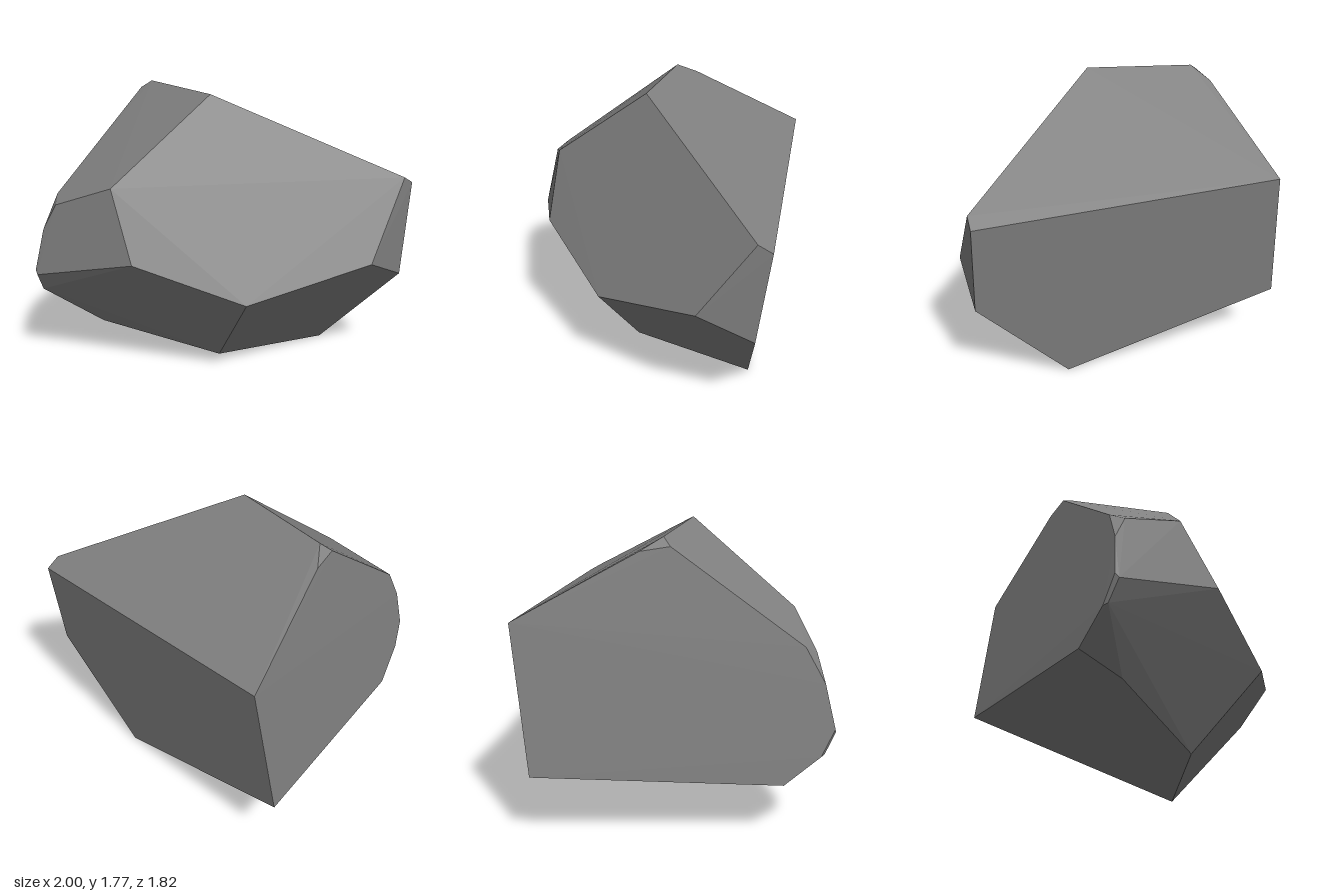
import * as THREE from 'three';
import { ConvexGeometry } from 'three/addons/geometries/ConvexGeometry.js';

// Corner points of the faceted boulder
const corners = [
  // crown
  [-0.10, 1.775, 0.205], [-0.715, 1.76, -0.05], [-0.78, 1.715, -0.02], [-0.77, 1.69, -0.19],
  // back
  [-0.77, 1.31, -0.91], [-0.885, 0.435, -0.83],
  // right end
  [1.0, 1.225, -0.40], [0.98, 1.275, -0.315], [0.92, 0.80, 0.015], [0.98, 0.63, -0.325],
  // front
  [0.355, 0.61, 0.56], [-0.25, 0.855, 0.865], [-0.45, 1.275, 0.775], [-0.86, 1.115, 0.805],
  [-0.96, 0.665, 0.91],
  // left bevels
  [-0.91, 1.16, 0.725], [-0.945, 0.95, 0.84], [-0.98, 0.69, 0.90],
  [-0.98, 0.54, 0.845], [-0.996, 0.53, 0.82], [-1.0, 0.365, 0.61],
  // underside
  [0.40, 0, -0.405], [0.0, 0.075, 0.295], [-0.71, 0.275, 0.595],
];

export function createModel() {
  const stone = new THREE.MeshStandardMaterial({ color: 0x808080, flatShading: true });
  stone.name = 'grey stone';

  const points = corners.map((c) => new THREE.Vector3(...c));
  const boulder = new THREE.Mesh(new ConvexGeometry(points), stone);
  boulder.name = 'boulder';

  const group = new THREE.Group();
  group.name = 'rock';
  group.add(boulder);
  return group;
}
